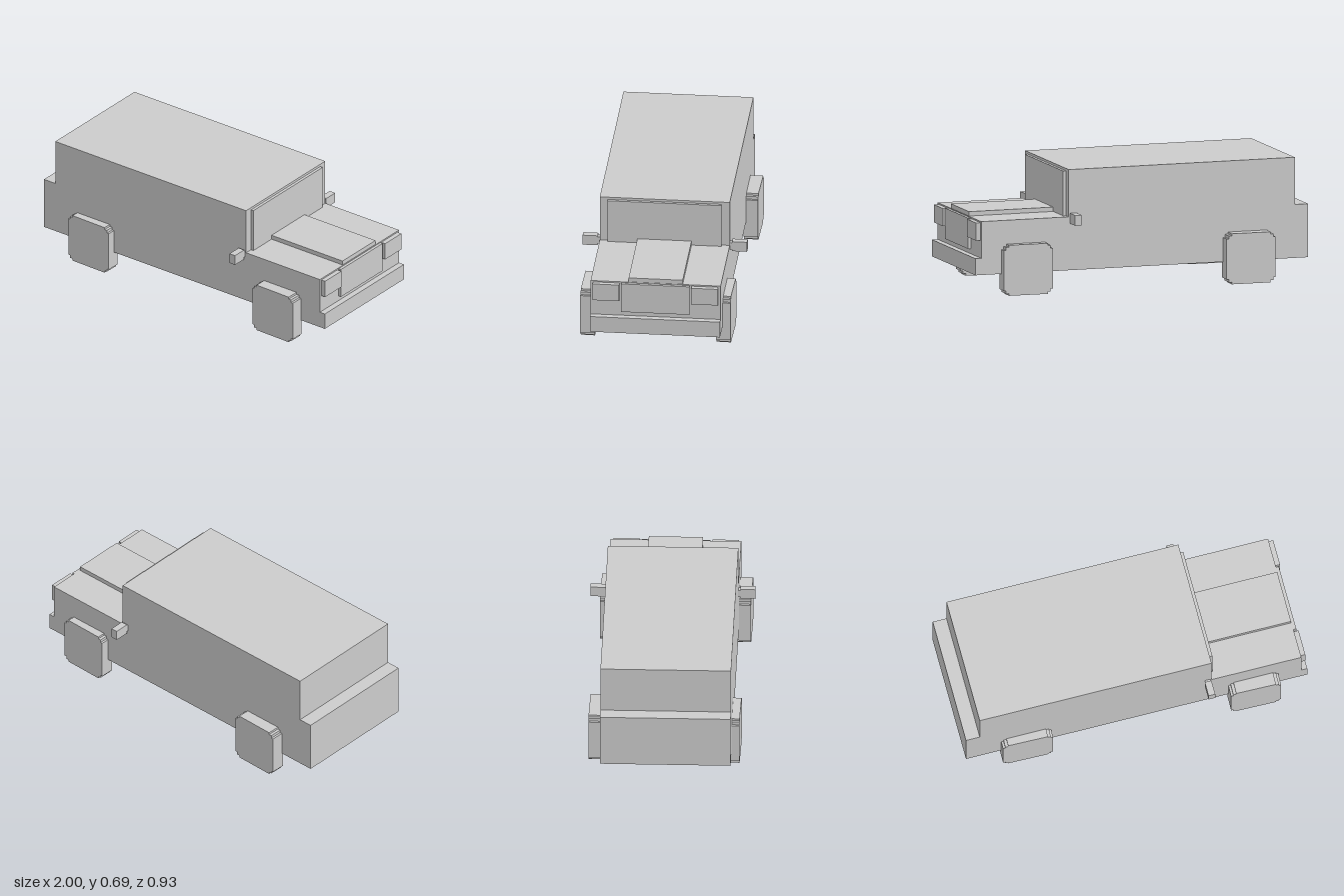
import * as THREE from 'three';

export function createModel() {
  const model = new THREE.Group();
  model.name = 'boxyCar';
  const material = new THREE.MeshStandardMaterial({ color: 0xcccccc, flatShading: true });

  // Box given by its extents on each axis
  function box(parent, name, [x0, x1], [y0, y1], [z0, z1]) {
    const mesh = new THREE.Mesh(new THREE.BoxGeometry(x1 - x0, y1 - y0, z1 - z0), material);
    mesh.position.set((x0 + x1) / 2, (y0 + y1) / 2, (z0 + z1) / 2);
    mesh.name = name;
    parent.add(mesh);
  }

  // Side outline extruded across the width, centred on z = 0
  function extrudeSide(name, points, width) {
    const shape = new THREE.Shape(points.map(([x, y]) => new THREE.Vector2(x, y)));
    const geometry = new THREE.ExtrudeGeometry(shape, { depth: width, bevelEnabled: false });
    geometry.translate(0, 0, -width / 2);
    const mesh = new THREE.Mesh(geometry, material);
    mesh.name = name;
    return mesh;
  }

  // Body sits slightly turned on its wheels; nose points to +x
  const body = new THREE.Group();
  body.name = 'body';
  body.rotation.y = 0.0185;
  body.position.z = 0.0105;
  model.add(body);

  // Shell: bumper step, bonnet, cabin and tail ledge in one outline
  body.add(extrudeSide('shell', [
    [-0.993, 0.12], [0.993, 0.12], [0.993, 0.215], [0.958, 0.215], [0.958, 0.424],
    [0.436, 0.424], [0.436, 0.693], [-0.913, 0.693], [-0.913, 0.424], [-0.993, 0.424],
  ], 0.735));

  // Raised panels
  box(body, 'windscreen', [0.43, 0.453], [0.42, 0.679], [-0.322, 0.322]);
  box(body, 'bonnetPanel', [0.45, 0.955], [0.42, 0.449], [-0.153, 0.153]);
  box(body, 'grille', [0.95, 0.975], [0.244, 0.419], [-0.193, 0.193]);

  // Headlights and wing mirrors, one per side
  for (const side of [-1, 1]) {
    const span = (a, b) => (side > 0 ? [a, b] : [-b, -a]);
    box(body, 'headlight', [0.95, 0.985], [0.315, 0.416], span(0.204, 0.354));
    box(body, 'mirrorStem', [0.397, 0.428], [0.396, 0.437], span(0.36, 0.385));
    box(body, 'mirror', [0.393, 0.432], [0.387, 0.446], span(0.38, 0.465));
  }

  // Square wheels with stepped corners
  const corner = [[0.145, 0.115], [0.132, 0.115], [0.132, 0.132], [0.115, 0.132], [0.115, 0.144]];
  const outline = [
    ...corner,
    ...corner.map(([x, y]) => [-x, y]).reverse(),
    ...corner.map(([x, y]) => [-x, -y]),
    ...corner.map(([x, y]) => [x, -y]).reverse(),
  ];
  for (const x of [-0.636, 0.685]) {
    for (const z of [-0.375, 0.395]) {
      const wheel = extrudeSide('wheel', outline, 0.081);
      wheel.position.set(x, 0.144, z);
      model.add(wheel);
    }
  }

  return model;
}
